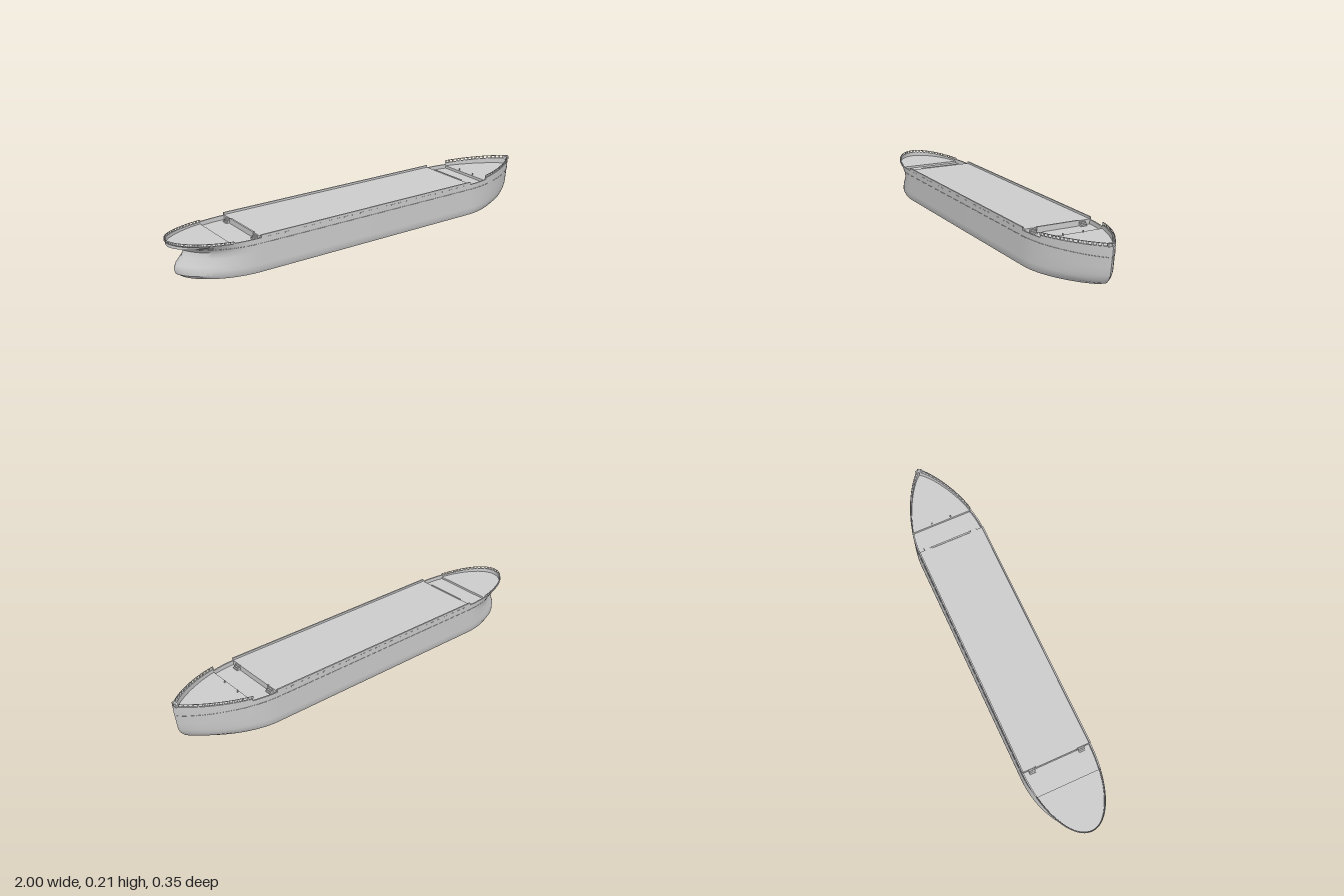
import * as THREE from 'three';
import { toCreasedNormals } from 'three/addons/utils/BufferGeometryUtils.js';

const AFT = -0.63, FORE = 0.58; // ends of the straight middle body
const mat = new THREE.MeshStandardMaterial({ color: 0xcccccc });
const matDouble = new THREE.MeshStandardMaterial({ color: 0xcccccc, side: THREE.DoubleSide });

// waterlines: height, stern end, bow end, half beam, stern fullness exponent
const LEVELS = [
  [0, -0.89, 0.86, 0.147, 0.62], [0.007, -0.935, 0.91, 0.165, 0.64],
  [0.025, -0.962, 0.957, 0.173, 0.66], [0.045, -0.968, 0.975, 0.173, 0.7],
  [0.065, -0.962, 0.985, 0.173, 0.75], [0.1, -0.93, 0.99, 0.173, 0.78],
  [0.125, -0.92, 0.993, 0.173, 0.72], [0.145, -0.937, 0.996, 0.173, 0.6],
  [0.16, -0.975, 0.998, 0.173, 0.53],
];
const TOP = [0, -1, 1, 0.173, 0.5];
const INNER = [0, -0.993, 0.985, 0.166, 0.5];

// point on a waterline: part -1 stern, 0 middle, 1 bow; s runs outward to the end
function plan(level, { part, s }) {
  const [, xs, xb, beam, p] = level;
  if (part < 0) return [AFT + (xs - AFT) * s, beam * Math.pow(Math.max(0, 1 - s * s), p)];
  if (part > 0) return [FORE + (xb - FORE) * s, beam * Math.pow(Math.max(0, 1 - Math.pow(s, 1.8)), 0.82)];
  return [AFT + (FORE - AFT) * s, beam];
}

// a run of stations; the sheer and deck heights may slope with s
function stations(part, s0, s1, n, top, deck) {
  const ease = (s) => Math.sin(s * Math.PI / 2), inv = (s) => Math.asin(s) * 2 / Math.PI;
  return Array.from({ length: n + 1 }, (_, i) => {
    const k = i / n;
    const s = part ? ease(inv(s0) + (inv(s1) - inv(s0)) * k) : s0 + (s1 - s0) * k;
    return { part, s, top: top(s), deck };
  });
}
const poop = stations(-1, 1, 0.35, 18, (s) => 0.166 + 0.014 * s * s, 0.16);
const forecastle = stations(1, 0.286, 1, 18, (s) => 0.174 + 0.018 * s, 0.163);
const columns = [
  ...poop,
  ...stations(-1, 0.35, 0, 6, () => 0.17, 0.15),
  ...stations(0, 0, 1, 2, () => 0.183, 0.173),
  ...stations(1, 0, 0.286, 6, () => 0.17, 0.15),
  ...forecastle,
];

// skin both sides from rows of [x, y, halfWidth] running aft to fore
function loft(rows) {
  const pos = [];
  const A = new THREE.Vector3(), B = new THREE.Vector3();
  const tri = (a, b, c) => {
    A.subVectors(b, a); B.subVectors(c, a);
    if (A.cross(B).lengthSq() > 1e-16) pos.push(...a, ...b, ...c);
  };
  for (const side of [1, -1]) {
    const P = rows.map((r) => r.map(([x, y, w]) => new THREE.Vector3(x, y, w * side)));
    for (let j = 0; j < P.length - 1; j++) for (let i = 0; i < P[j].length - 1; i++) {
      const a = P[j][i], b = P[j][i + 1], c = P[j + 1][i + 1], d = P[j + 1][i];
      if (side > 0) { tri(a, b, c); tri(a, c, d); } else { tri(a, c, b); tri(a, d, c); }
    }
  }
  const g = new THREE.BufferGeometry();
  g.setAttribute('position', new THREE.Float32BufferAttribute(pos, 3));
  return toCreasedNormals(g, 0.65);
}

const row = (level, y, width = 1) => columns.map((c) => {
  const [x, w] = plan(level, c);
  return [x, y(c), w * width];
});

export function createModel() {
  const ship = new THREE.Group();
  ship.name = 'ship';
  const add = (name, geometry, material = mat, x = 0, y = 0, z = 0) => {
    const m = new THREE.Mesh(geometry, material);
    m.name = name;
    m.position.set(x, y, z);
    ship.add(m);
    return m;
  };
  const topY = (c) => c.top, deckY = (c) => c.deck;

  // hull with flat bottom, rounded bilge and overhanging stern
  add('hull', loft([
    row(LEVELS[0], () => 0, 0),
    ...LEVELS.map((l) => row(l, () => l[0])),
    row(TOP, topY),
  ]));
  // bulwark cap and inner face
  add('bulwark', loft([row(TOP, topY), row(INNER, topY), row(INNER, deckY)]), matDouble);
  // stepped decks with the walls between them
  add('deck', loft([row(INNER, deckY), row(INNER, deckY, 0)]), matDouble);

  // strake line around the hull
  const line = columns.map((c) => plan(LEVELS[7], c));
  const strakePts = [1, -1].flatMap((side) => {
    const pts = line.map(([x, w]) => new THREE.Vector3(x, 0.145, w * side))
      .filter((p, i, a) => i === 0 || p.distanceTo(a[i - 1]) > 1e-5);
    return side > 0 ? pts : pts.reverse().slice(1, -1);
  });
  add('strake', new THREE.TubeGeometry(
    new THREE.CatmullRomCurve3(strakePts, true, 'centripetal'), 300, 0.001, 4, true));

  // handrails on posts round the stern and the bow
  const railing = (name, cols, height, count) => {
    const half = cols.map((c) => {
      const [x, w] = plan(TOP, c);
      return new THREE.Vector3(x * 0.998, c.top + height, Math.max(0, w - 0.003));
    });
    if (half[0].z < half[half.length - 1].z) half.reverse();
    const mirrored = half.slice(0, -1).reverse().map((p) => new THREE.Vector3(p.x, p.y, -p.z));
    const curve = new THREE.CatmullRomCurve3([...half, ...mirrored], false, 'centripetal');
    add(name + 'Rail', new THREE.TubeGeometry(curve, 120, 0.0018, 6), matDouble);
    for (let i = 0; i <= count; i++) {
      const p = curve.getPointAt(i / count), t = curve.getTangentAt(i / count);
      const post = add(name + 'Post', new THREE.BoxGeometry(0.008, height, 0.002), mat,
        p.x, p.y - height / 2, p.z);
      post.rotation.y = Math.atan2(-t.z, t.x);
    }
  };
  railing('stern', poop, 0.009, 32);
  railing('bow', forecastle, 0.012, 32);
  // solid plate at the stem
  add('stemPlate', new THREE.BoxGeometry(0.014, 0.014, 0.034), mat, 0.986, 0.197, 0);

  // freeing ports along the middle body
  for (const side of [1, -1]) for (let i = 0; i < 26; i++) {
    add('freeingPort', new THREE.BoxGeometry(0.022, 0.004, 0.002), mat,
      AFT + 0.04 + i * 0.0452, 0.169, side * 0.173);
  }

  // low coamings at the ends of the main deck, with steps down to the wells
  for (const [x, dir] of [[AFT, -1], [FORE, 1]]) {
    add('coaming', new THREE.BoxGeometry(0.008, 0.026, 0.21), mat, x, 0.163, 0);
    for (const side of [1, -1]) for (let k = 0; k < 3; k++) {
      const h = 0.006 * (3 - k);
      add('step', new THREE.BoxGeometry(0.006, h, 0.03), mat,
        x + dir * (0.004 + k * 0.006), 0.15 + h / 2, side * 0.125);
    }
  }
  // mooring posts at the break of the forecastle
  for (const side of [1, -1]) {
    add('mooringPost', new THREE.CylinderGeometry(0.003, 0.003, 0.01, 10), mat, 0.705, 0.168, side * 0.05);
  }
  return ship;
}
